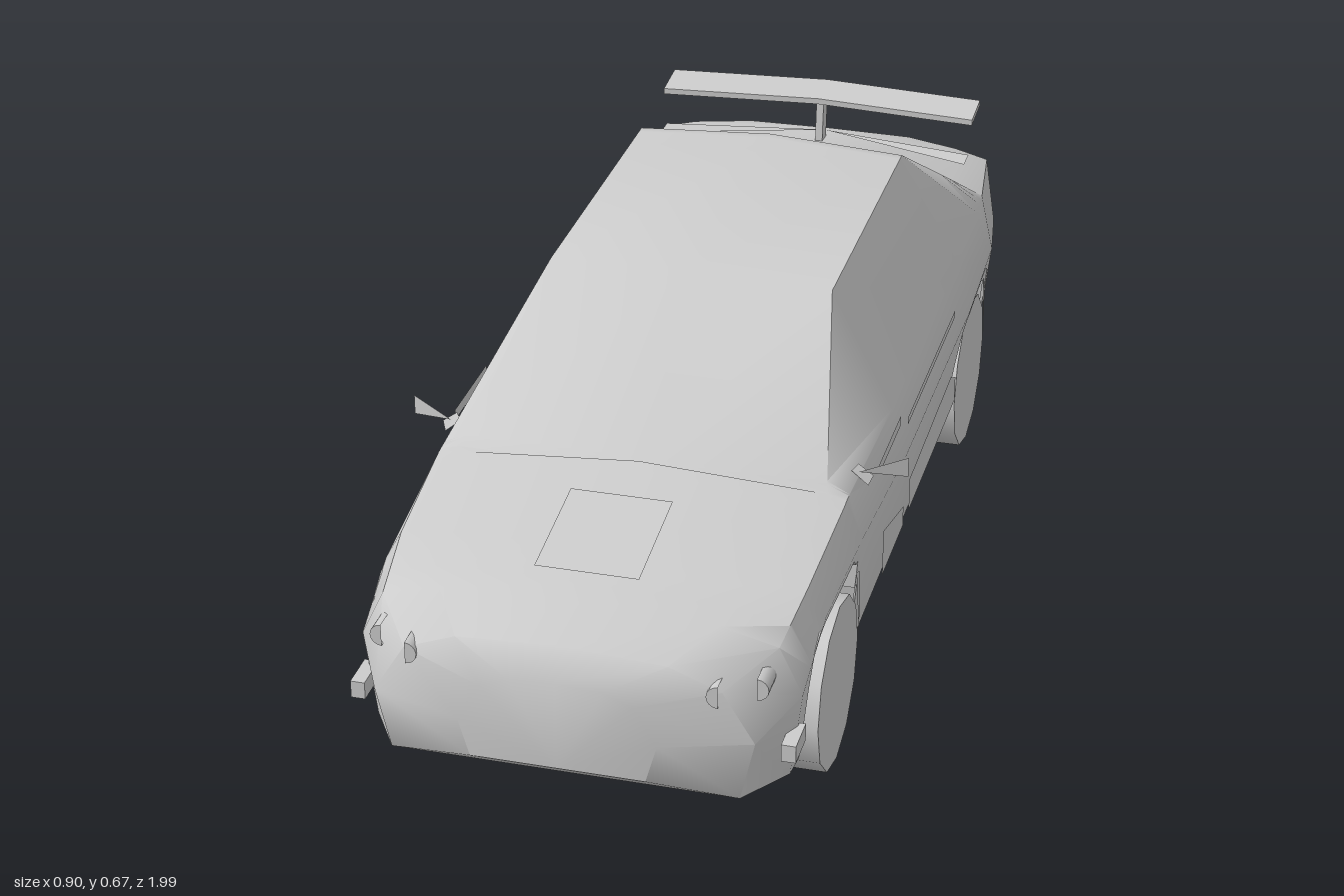
import * as THREE from 'three';
import { toCreasedNormals } from 'three/addons/utils/BufferGeometryUtils.js';

const grey = new THREE.MeshStandardMaterial({ color: 0xcccccc });
const thin = new THREE.MeshStandardMaterial({ color: 0xcccccc, side: THREE.DoubleSide });
const WHEELS = [0.635, -0.55];

// Body stations: z, floor y, sill x, waist x,y, shoulder x,y, roof edge x,y, centre y
const STATIONS = [
  [0.995, 0.15, 0.15, 0.17, 0.22, 0.13, 0.29, 0.08, 0.31, 0.315],
  [0.96, 0.12, 0.30, 0.325, 0.23, 0.27, 0.32, 0.18, 0.355, 0.365],
  [0.86, 0.112, 0.36, 0.38, 0.27, 0.34, 0.355, 0.24, 0.38, 0.387],
  [0.72, 0.11, 0.37, 0.385, 0.335, 0.355, 0.39, 0.28, 0.40, 0.413],
  [0.495, 0.11, 0.37, 0.39, 0.34, 0.365, 0.42, 0.31, 0.43, 0.455],
  [0.48, 0.11, 0.37, 0.39, 0.34, 0.365, 0.422, 0.33, 0.43, 0.428],
  [0.15, 0.112, 0.37, 0.402, 0.335, 0.375, 0.43, 0.26, 0.65, 0.658],
  [-0.45, 0.115, 0.37, 0.405, 0.335, 0.378, 0.435, 0.26, 0.652, 0.668],
  [-0.74, 0.117, 0.37, 0.395, 0.335, 0.37, 0.45, 0.31, 0.477, 0.485],
  [-0.93, 0.16, 0.335, 0.365, 0.31, 0.345, 0.445, 0.28, 0.462, 0.468],
  [-0.98, 0.21, 0.20, 0.22, 0.31, 0.21, 0.44, 0.17, 0.455, 0.457],
];

function stationAt(z) {
  const i = Math.max(1, STATIONS.findIndex(s => s[0] <= z));
  const a = STATIONS[i - 1], b = STATIONS[i];
  return a.map((v, k) => THREE.MathUtils.lerp(v, b[k], (z - a[0]) / (b[0] - a[0])));
}

function archHeight(z) {
  const d = Math.min(...WHEELS.map(w => Math.abs(z - w)));
  if (d > 0.171) return 0;
  return d > 0.155 ? 0.25 : d > 0.12 ? 0.305 : 0.325;
}

function section(z) {
  const [, floor, sx, wx, wy, hx, hy, rx, ry, cy] = stationAt(z);
  const low = Math.max(floor, archHeight(z));
  const inner = Math.min(0.25, sx * 0.8);
  const lx = THREE.MathUtils.lerp(sx, wx, Math.min(1, (low - floor) / (wy - floor)));
  const half = [[inner, floor], [inner, low], [lx, low], [wx, wy], [hx, hy], [rx, ry]];
  return [[0, floor], ...half, [0, cy], ...half.map(([x, y]) => [-x, y]).reverse()];
}

function bodyGeometry() {
  const zs = STATIONS.map(s => s[0]);
  for (const w of WHEELS)
    for (const d of [0.175, 0.17, 0.154, 0.118]) zs.push(w - d, w + d);
  zs.sort((a, b) => b - a);
  const pos = [], idx = [];
  zs.forEach(z => section(z).forEach(([x, y]) => pos.push(x, y, z)));
  const n = 14, last = (zs.length - 1) * n;
  for (let i = 0; i < zs.length - 1; i++)
    for (let j = 0; j < n; j++) {
      const a = i * n + j, b = i * n + (j + 1) % n;
      idx.push(a, a + n, b, b, a + n, b + n);
    }
  for (let j = 1; j < n - 1; j++) {
    idx.push(0, j, j + 1);
    idx.push(last, last + j + 1, last + j);
  }
  const g = new THREE.BufferGeometry();
  g.setAttribute('position', new THREE.Float32BufferAttribute(pos, 3));
  g.setIndex(idx);
  return toCreasedNormals(g, 0.85);
}

// Flat convex polygon as a fan
function panel(points) {
  const tris = [];
  for (let i = 1; i < points.length - 1; i++) tris.push(...points[0], ...points[i], ...points[i + 1]);
  const g = new THREE.BufferGeometry();
  g.setAttribute('position', new THREE.Float32BufferAttribute(tris, 3));
  g.computeVertexNormals();
  return g;
}

export function createModel() {
  const car = new THREE.Group();
  car.name = 'car';
  const add = (name, geo, mat = grey) => {
    const m = new THREE.Mesh(geo, mat);
    m.name = name;
    car.add(m);
    return m;
  };
  // Same flat part on both sides
  const pair = (name, points) => {
    add(name + 'Left', panel(points), thin);
    add(name + 'Right', panel(points.map(([x, y, z]) => [-x, y, z]).reverse()), thin);
  };
  const sidePanel = (name, x, zy) => pair(name, zy.map(([z, y]) => [x, y, z]));

  add('body', bodyGeometry(), thin);

  // Wheels and mud flaps
  const wheel = new THREE.CylinderGeometry(0.153, 0.153, 0.12, 12).rotateZ(Math.PI / 2);
  WHEELS.forEach((z, i) => {
    const axle = i ? 'rear' : 'front';
    for (const s of [1, -1])
      add(axle + 'Wheel' + (s > 0 ? 'Left' : 'Right'), toCreasedNormals(wheel, 0.6)).position.set(0.33 * s, 0.153, z);
    pair(axle + 'MudFlap', [[0.385, 0.28, z - 0.155], [0.29, 0.2, z - 0.165], [0.36, 0.04, z - 0.19]]);
    pair(axle + 'FlapSide', [[0.388, 0.29, z - 0.14], [0.385, 0.12, z - 0.19], [0.385, 0.27, z - 0.18]]);
  });

  // Bonnet plate
  add('bonnetPlate', panel([[-0.09, 0.416, 0.81], [0.09, 0.416, 0.81], [0.09, 0.446, 0.6], [-0.09, 0.446, 0.6]]), thin);

  // Half-round headlights
  for (const s of [1, -1])
    [[0.265, 0.94], [0.32, 0.9]].forEach(([x, z], i) => {
      const g = new THREE.CylinderGeometry(0.02, 0.02, 0.06, 8, 1, false, 0, Math.PI).rotateX(Math.PI / 2);
      const m = add(i ? 'outerHeadlight' : 'innerHeadlight', g, thin);
      m.position.set(s * x, 0.315, z);
      m.rotation.z = (i ? s > 0 : s < 0) ? 0 : Math.PI;
    });

  // Bumper lamps, door panels and trim strips
  for (const s of [1, -1])
    add('bumperLamp', new THREE.BoxGeometry(0.025, 0.032, 0.07)).position.set(0.371 * s, 0.193, 0.885);
  sidePanel('frontSidePanel', 0.4, [[0.33, 0.28], [0.33, 0.19], [0.15, 0.19], [0.15, 0.23]]);
  sidePanel('doorPanel', 0.402, [[0.11, 0.265], [0.11, 0.2], [-0.33, 0.2], [-0.33, 0.25], [-0.28, 0.275]]);
  sidePanel('frontTrim', 0.39, [[0.33, 0.415], [0.33, 0.395], [0.15, 0.395], [0.15, 0.415]]);
  sidePanel('doorTrim', 0.396, [[0.11, 0.393], [0.11, 0.378], [-0.33, 0.378], [-0.33, 0.393]]);

  // Wing mirrors
  pair('mirror', [[0.37, 0.44, 0.41], [0.45, 0.423, 0.375], [0.45, 0.46, 0.375]]);
  pair('mirrorStalk', [[0.355, 0.435, 0.4], [0.385, 0.41, 0.4], [0.392, 0.425, 0.39], [0.365, 0.445, 0.39]]);

  // Rear wing: slightly swept blade on a centre post
  const blade = new THREE.BoxGeometry(0.65, 0.012, 0.085, 2, 1, 1);
  const p = blade.attributes.position;
  for (let i = 0; i < p.count; i++) {
    const k = Math.abs(p.getX(i)) / 0.325;
    p.setY(i, p.getY(i) - 0.1 * p.getZ(i) - 0.006 * k);
    p.setZ(i, p.getZ(i) + 0.015 * k);
  }
  blade.computeVertexNormals();
  add('wingBlade', blade).position.set(0, 0.57, -0.905);
  const post = add('wingPost', new THREE.BoxGeometry(0.015, 0.11, 0.035));
  post.position.set(0, 0.51, -0.895);
  post.rotation.x = -0.1;

  // Boot lip, rear lamps and underside fins
  pair('bootLip', [[0, 0.474, -0.93], [0.32, 0.487, -0.85], [0.32, 0.487, -0.8], [0.2, 0.482, -0.85]]);
  pair('rearLamp', [[0.15, 0.28, -0.995], [0.29, 0.28, -0.985], [0.29, 0.23, -0.985], [0.15, 0.23, -0.995]]);
  pair('rearFin', [[0.14, 0.145, -0.84], [0.21, 0.145, -0.84], [0.19, 0.13, -0.91], [0.15, 0.13, -0.91]]);
  return car;
}
